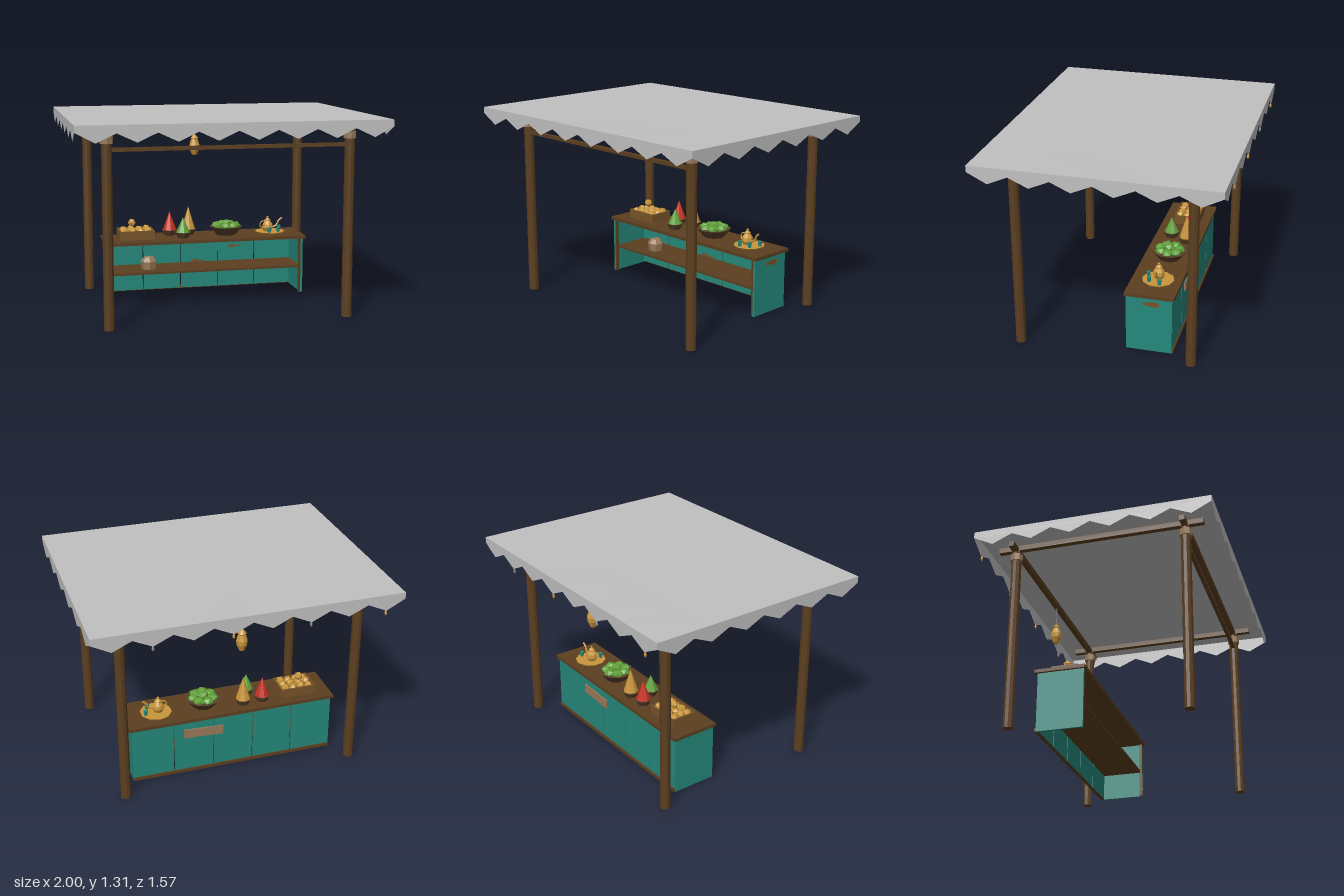
import * as THREE from 'three';

const mat = (name, color, extra = {}) => {
  const m = new THREE.MeshStandardMaterial({ color, flatShading: true, ...extra });
  m.name = name;
  return m;
};

export function createModel() {
  const root = new THREE.Group();
  root.name = 'marketStall';
  const M = {
    cloth: mat('canvas', 0xc0c0c0, { side: THREE.DoubleSide }),
    teal: mat('tealPaint', 0x25887b),
    wood: mat('darkWood', 0x5c3f20),
    crate: mat('crateWood', 0x775329),
    tan: mat('paleWood', 0x98795a),
    bowl: mat('bowlBrown', 0x59402a, { side: THREE.DoubleSide }),
    gold: mat('gold', 0xc8963c),
    red: mat('redSpice', 0xc43322),
    green: mat('green', 0x5fa038),
    silver: mat('silver', 0x85878a),
  };
  const add = (name, geo, m, x = 0, y = 0, z = 0, parent = root) => {
    const mesh = new THREE.Mesh(geo, m);
    mesh.name = name;
    mesh.position.set(x, y, z);
    parent.add(mesh);
    return mesh;
  };
  const box = (name, m, w, h, d, x, y, z, parent) =>
    add(name, new THREE.BoxGeometry(w, h, d), m, x, y, z, parent);
  const cyl = (name, m, rt, rb, h, n, x, y, z, parent) =>
    add(name, new THREE.CylinderGeometry(rt, rb, h, n), m, x, y + h / 2, z, parent);
  const lathe = (name, m, pts, n, x, y, z, parent) =>
    add(name, new THREE.LatheGeometry(pts.map(p => new THREE.Vector2(...p)), n), m, x, y, z, parent);
  const group = (name) => {
    const g = new THREE.Group();
    g.name = name;
    root.add(g);
    return g;
  };

  // Canopy: slightly sagging sheet with a zigzag valance on each side
  const W = 2, D = 1.57, TOP = 1.312;
  const canopy = group('canopy');
  const sheet = new THREE.PlaneGeometry(W, D, 6, 4).rotateX(-Math.PI / 2);
  const sp = sheet.attributes.position;
  for (let i = 0; i < sp.count; i++) {
    const u = 1 - sp.getX(i) ** 2, v = 1 - (sp.getZ(i) / (D / 2)) ** 2;
    sp.setY(i, -0.008 * u * v);
  }
  add('canopySheet', sheet, M.cloth, 0, TOP, 0, canopy);
  const valance = (len, teeth) => {
    const s = new THREE.Shape();
    const step = len / teeth;
    s.moveTo(-len / 2, 0);
    for (let i = 0; i < teeth; i++) {
      const x = -len / 2 + i * step;
      s.lineTo(x, i ? -0.05 : -0.042);
      s.lineTo(x + step / 2, -0.108);
    }
    s.lineTo(len / 2, -0.042);
    s.lineTo(len / 2, 0);
    return new THREE.ShapeGeometry(s);
  };
  for (const s of [1, -1]) {
    add('longValance', valance(W, 8), M.cloth, 0, TOP, s * D / 2, canopy);
    add('sideValance', valance(D, 6), M.cloth, s * W / 2, TOP, 0, canopy).rotation.y = Math.PI / 2;
  }

  // Frame: posts, bindings and roof beams
  const frame = group('frame');
  for (const sx of [1, -1]) {
    for (const sz of [1, -1]) {
      cyl('post', M.wood, 0.033, 0.034, 1.25, 10, sx * 0.785, 0, sz * 0.57, frame);
      cyl('postBinding', M.tan, 0.042, 0.042, 0.045, 8, sx * 0.785, 1.18, sz * 0.57, frame);
    }
    box('sideBeam', M.wood, 0.035, 0.035, 1.38, sx * 0.785, 1.272, 0, frame);
    box('longBeam', M.wood, 1.78, 0.035, 0.035, 0, 1.258, sx * 0.57, frame);
  }
  box('crossRail', M.wood, 1.52, 0.024, 0.024, 0, 1.14, 0.57, frame);

  // Counter: open at the front, planked at the back
  const counter = group('counter');
  box('counterTop', M.wood, 1.425, 0.022, 0.33, 0, 0.404, -0.275, counter);
  box('shelf', M.wood, 1.36, 0.015, 0.28, 0, 0.187, -0.275, counter);
  box('bottomRail', M.wood, 1.39, 0.022, 0.022, 0, 0.014, -0.424, counter);
  for (const s of [1, -1]) {
    box('sidePanel', M.teal, 0.015, 0.393, 0.305, s * 0.689, 0.197, -0.272, counter);
    box('frontLeg', M.wood, 0.014, 0.393, 0.02, s * 0.675, 0.197, -0.13, counter);
  }
  for (let i = 0; i < 5; i++)
    box('backPlank', M.teal, 0.267, 0.385, 0.014, (i - 2) * 0.275, 0.2, -0.418, counter);
  box('signBoard', M.tan, 0.27, 0.062, 0.01, 0.21, 0.3, -0.431, counter).rotation.z = 0.05;

  // Worn patches where the paint has rubbed off
  const worn = [[0.26, 0.302, 0.1], [-0.57, 0.172, 0.1], [-0.01, 0.203, 0.11]];
  for (const [x, y, w] of worn) {
    box('wornPatch', M.crate, w, 0.009, 0.003, x, y, -0.41, counter);
    box('wornPatch', M.crate, w * 0.4, 0.02, 0.003, x - w * 0.2, y, -0.41, counter);
  }
  box('sideWornPatch', M.crate, 0.003, 0.02, 0.11, 0.697, 0.345, -0.285, counter);
  box('sideWornPatch', M.crate, 0.003, 0.035, 0.05, 0.697, 0.345, -0.3, counter);

  // Pot on the shelf
  const pot = group('shelfPot');
  cyl('potBody', M.tan, 0.058, 0.052, 0.055, 7, -0.395, 0.195, -0.26, pot);
  cyl('potShoulder', M.tan, 0.035, 0.058, 0.03, 7, -0.395, 0.25, -0.26, pot);

  const Y = 0.415;

  // Crate of fruit
  const crate = group('fruitCrate');
  const cx = -0.483, cz = -0.285;
  box('crateBase', M.crate, 0.24, 0.015, 0.17, cx, Y + 0.008, cz, crate);
  for (const s of [1, -1]) {
    box('crateLongSide', M.crate, 0.245, 0.062, 0.01, cx, Y + 0.031, cz + s * 0.083, crate);
    box('crateEnd', M.crate, 0.01, 0.062, 0.165, cx + s * 0.117, Y + 0.031, cz, crate);
  }
  const fruit = (x, y, z) => {
    add('fruit', new THREE.IcosahedronGeometry(0.029, 0), M.gold, x, y, z, crate).rotation.set(x * 40, z * 30, 0);
  };
  for (let i = 0; i < 4; i++)
    for (let j = 0; j < 3; j++)
      fruit(cx + (i - 1.5) * 0.055, Y + 0.05 + ((i + j) % 2) * 0.006, cz + (j - 1) * 0.052);
  fruit(cx - 0.025, Y + 0.108, cz - 0.01);

  // Spice cones in small bowls
  const bowl = (name, r, rb, h, x, z, parent) =>
    lathe(name, M.bowl, [[0, 0], [rb, 0], [r, h], [r * 0.9, h], [0, h * 0.8]], 10, x, Y, z, parent);
  const spices = group('spices');
  for (const [m, x, z, peak] of [[M.red, -0.23, -0.34, 0.588], [M.green, -0.155, -0.225, 0.56], [M.gold, -0.093, -0.345, 0.617]]) {
    bowl('spiceBowl', 0.06, 0.038, 0.04, x, z, spices);
    add('spiceCone', new THREE.ConeGeometry(0.052, peak - 0.448, 8), m, x, (peak + 0.448) / 2, z, spices);
  }

  // Large bowl of greens
  const greens = group('greensBowl');
  bowl('largeBowl', 0.12, 0.07, 0.06, 0.17, -0.285, greens);
  for (let i = 0; i < 8; i++) {
    const a = i * Math.PI * 2 / 7, r = i < 7 ? 0.066 : 0;
    const g = add('greenHead', new THREE.IcosahedronGeometry(0.04, 0), M.green,
      0.17 + r * Math.cos(a), Y + (i < 7 ? 0.064 : 0.08), -0.285 + r * Math.sin(a), greens);
    g.scale.y = 0.75;
    g.rotation.y = i;
  }

  // Tea set on a round tray
  const tea = group('teaSet');
  const tx = 0.48, tz = -0.285;
  cyl('tray', M.gold, 0.107, 0.098, 0.011, 10, 0.497, Y, tz, tea);
  lathe('teapot', M.gold, [[0, 0], [0.028, 0], [0.04, 0.025], [0.036, 0.05], [0.02, 0.075],
    [0.023, 0.08], [0.008, 0.095], [0.009, 0.105], [0, 0.11]], 8, tx, Y + 0.011, tz, tea);
  const tube = (name, pts, r) => add(name, new THREE.TubeGeometry(
    new THREE.CatmullRomCurve3(pts.map(p => new THREE.Vector3(p[0], p[1], 0))), 6, r, 5), M.gold, tx, Y, tz, tea);
  tube('spout', [[0.03, 0.035], [0.065, 0.05], [0.082, 0.085], [0.108, 0.103]], 0.007);
  tube('handle', [[-0.02, 0.085], [-0.05, 0.078], [-0.056, 0.05], [-0.034, 0.028]], 0.005);
  for (const [x, z] of [[0.545, -0.235], [0.572, -0.31], [0.475, -0.215]])
    cyl('cup', M.teal, 0.015, 0.011, 0.034, 7, x, Y + 0.011, z, tea);

  // Hanging lantern
  const lantern = group('lantern');
  cyl('lanternCord', M.silver, 0.003, 0.003, 0.16, 5, 0, 1.1, -0.57, lantern);
  lathe('lanternBody', M.gold, [[0, 0], [0.018, 0.004], [0.036, 0.045], [0.038, 0.075],
    [0.024, 0.118], [0.03, 0.125], [0.01, 0.148], [0, 0.155]], 8, 0, 0.957, -0.57, lantern);

  // Small charms along the back edge
  const charms = group('charms');
  [-0.875, -0.375, 0.125, 0.625].forEach((x, i) => {
    lathe('charm', i % 2 ? M.silver : M.gold, [[0, 0], [0.009, 0.014], [0.008, 0.026], [0, 0.045]], 6, x, 1.166, -0.778, charms);
  });
  return root;
}
